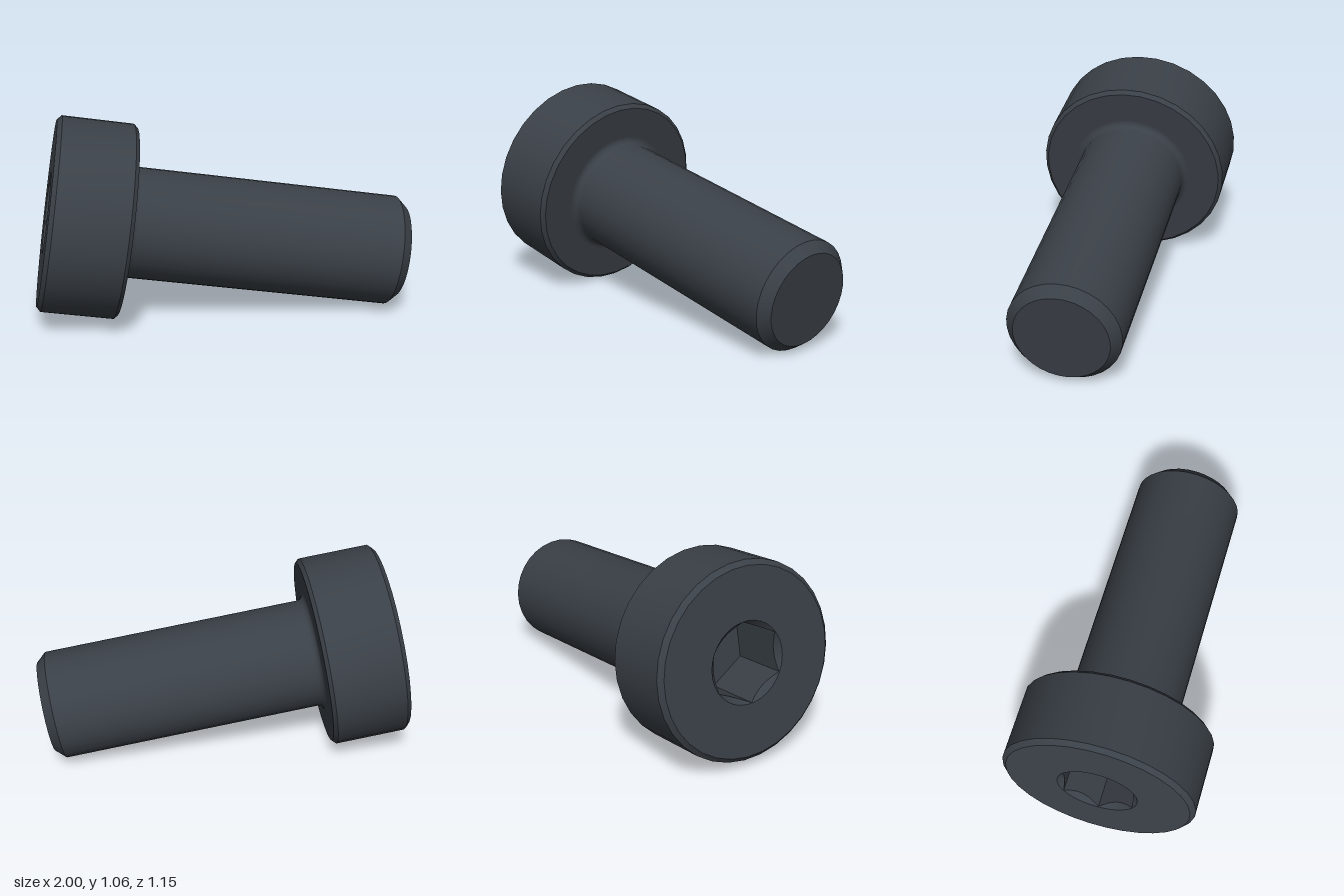
import * as THREE from 'three';
import { toCreasedNormals } from 'three/addons/utils/BufferGeometryUtils.js';

const BACK = -0.908;        // outer face of the head, along the bolt axis
const UNDER = -0.492;       // underside of the head
const TIP = 0.972;          // end of the shank
const RIM = 0.212;          // countersunk mouth of the socket
const FLAT = 0.182;         // half the socket width across flats

// Turned part about the local y axis, profile listed from head to tip
function turned(points, segments) {
  const profile = points.map(([r, y]) => new THREE.Vector2(r, y));
  return toCreasedNormals(new THREE.LatheGeometry(profile, segments), 0.45);
}

// Hexagonal recess whose mouth is cut by a shallow cone
function socketGeometry(depth) {
  const n = 96;
  const hex = (t) => {
    const side = Math.PI / 3;
    return FLAT / Math.cos((t % side) - side / 2);
  };
  const rings = [
    () => [RIM, 0],
    (t) => [hex(t), RIM - hex(t)],
    (t) => [hex(t), depth],
    () => [0, depth],
  ];
  const positions = [];
  const index = [];
  rings.forEach((ring, i) => {
    for (let j = 0; j < n; j++) {
      const t = (j / n) * Math.PI * 2;
      const [r, d] = ring(t);
      positions.push(r * Math.cos(t), BACK + d, r * Math.sin(t));
      if (i === rings.length - 1) continue;
      const a = i * n + j;
      const b = i * n + ((j + 1) % n);
      index.push(a, b, a + n);
      if (i < rings.length - 2) index.push(b, b + n, a + n);
    }
  });
  const geometry = new THREE.BufferGeometry();
  geometry.setAttribute('position', new THREE.Float32BufferAttribute(positions, 3));
  geometry.setIndex(index);
  return toCreasedNormals(geometry, 0.35);
}

export function createModel() {
  const steel = new THREE.MeshStandardMaterial({ color: 0x3a4047 });
  steel.name = 'blackSteel';

  const bolt = new THREE.Group();
  bolt.name = 'bolt';
  const add = (name, geometry) => {
    const mesh = new THREE.Mesh(geometry, steel);
    mesh.name = name;
    bolt.add(mesh);
  };

  // Cylindrical head with chamfered edges and an open middle
  add('head', turned([
    [RIM, BACK], [0.485, BACK], [0.51, BACK + 0.024],
    [0.51, UNDER - 0.02], [0.49, UNDER], [0.32, UNDER],
  ], 32));

  add('hexSocket', socketGeometry(0.32));

  // Shank with a fillet under the head and a chamfered tip
  const fillet = [];
  for (let i = 0; i <= 6; i++) {
    const a = (i / 6) * Math.PI / 2;
    fillet.push([0.325 - 0.035 * Math.sin(a), UNDER + 0.035 * (1 - Math.cos(a))]);
  }
  add('shank', turned([...fillet, [0.29, TIP - 0.052], [0.243, TIP], [0, TIP]], 32));

  // Tilt the bolt: local y follows the axis, local x points to a socket corner
  const axis = new THREE.Vector3(1, -0.155, 0.213).normalize();
  const corner = new THREE.Vector3(-0.253, -0.444, 0.86);
  corner.addScaledVector(axis, -corner.dot(axis)).normalize();
  const side = new THREE.Vector3().crossVectors(corner, axis);
  bolt.quaternion.setFromRotationMatrix(new THREE.Matrix4().makeBasis(corner, axis, side));
  bolt.position.set(0, 0.428, 0.104);

  const model = new THREE.Group();
  model.name = 'socketHeadBolt';
  model.add(bolt);
  return model;
}
